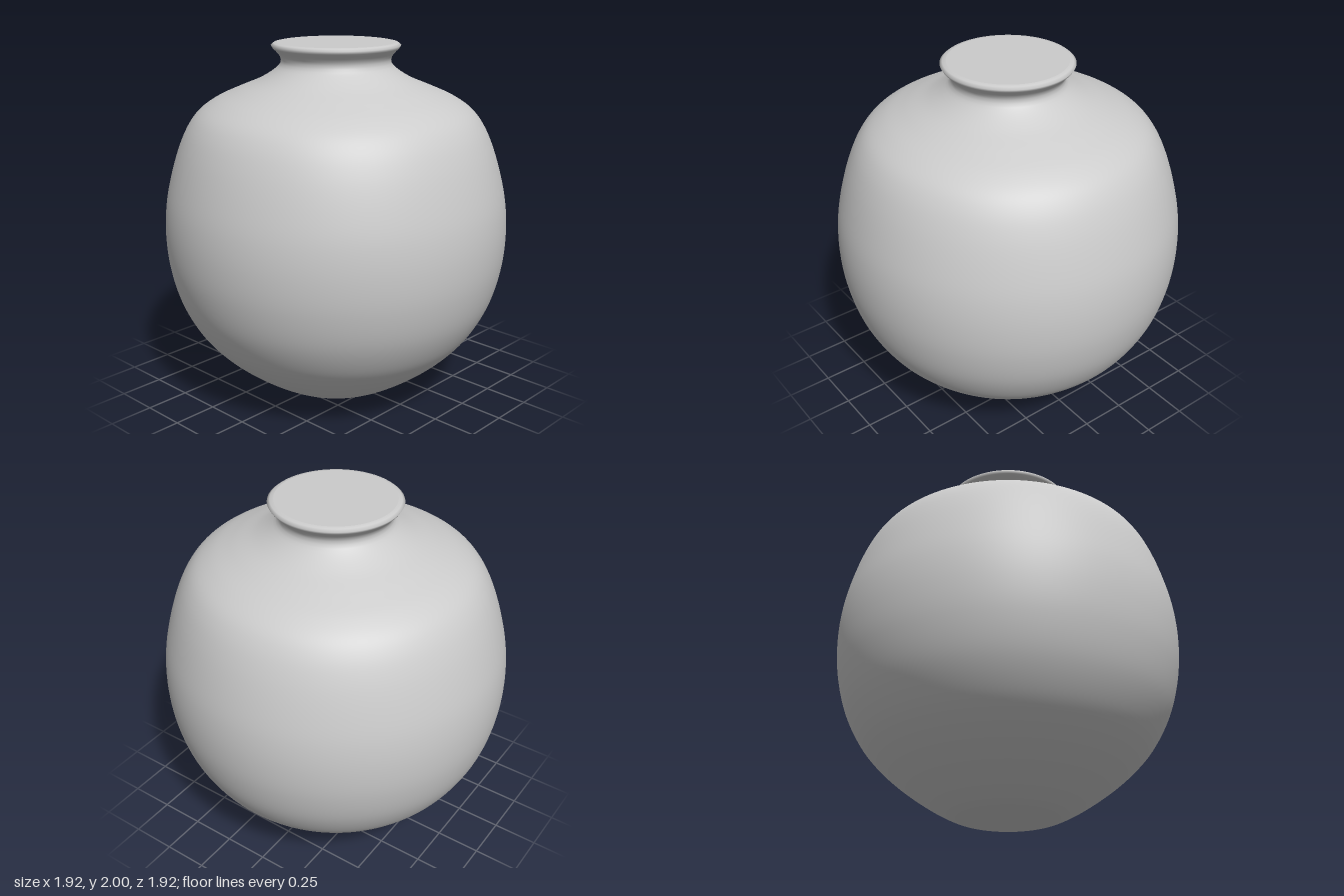
import * as THREE from 'three';

const material = new THREE.MeshStandardMaterial({ color: 0xcccccc, side: THREE.DoubleSide });

// Smooth profile through [radius, height] points
function smoothProfile(points, samples) {
  const curve = new THREE.CatmullRomCurve3(
    points.map(([r, y]) => new THREE.Vector3(r, y, 0)), false, 'centripetal');
  return curve.getSpacedPoints(samples).map((p) => new THREE.Vector2(p.x, p.y));
}

function turned(name, profile) {
  const mesh = new THREE.Mesh(new THREE.LatheGeometry(profile, 128), material);
  mesh.name = name;
  return mesh;
}

export function createModel() {
  const group = new THREE.Group();
  group.name = 'vase';

  // Foot, round belly, shoulder, narrow neck and flared lip in one sweep
  const wall = smoothProfile([
    [0.21, 0], [0.27, 0.008], [0.33, 0.03], [0.44, 0.09], [0.61, 0.21], [0.73, 0.32],
    [0.81, 0.42], [0.893, 0.58], [0.944, 0.77], [0.96, 0.95], [0.95, 1.12],
    [0.917, 1.28], [0.863, 1.45], [0.81, 1.56], [0.755, 1.63], [0.67, 1.69],
    [0.55, 1.745], [0.42, 1.80], [0.34, 1.85], [0.305, 1.885], [0.301, 1.915],
    [0.325, 1.95], [0.348, 1.973], [0.354, 1.984], [0.345, 1.994], [0.32, 2],
  ], 140);
  group.add(turned('body', wall));

  // Flat closed mouth and flat base
  group.add(turned('mouthCap', [new THREE.Vector2(0.32, 2), new THREE.Vector2(0, 2)]));
  group.add(turned('base', [new THREE.Vector2(0, 0), new THREE.Vector2(0.21, 0)]));

  return group;
}
